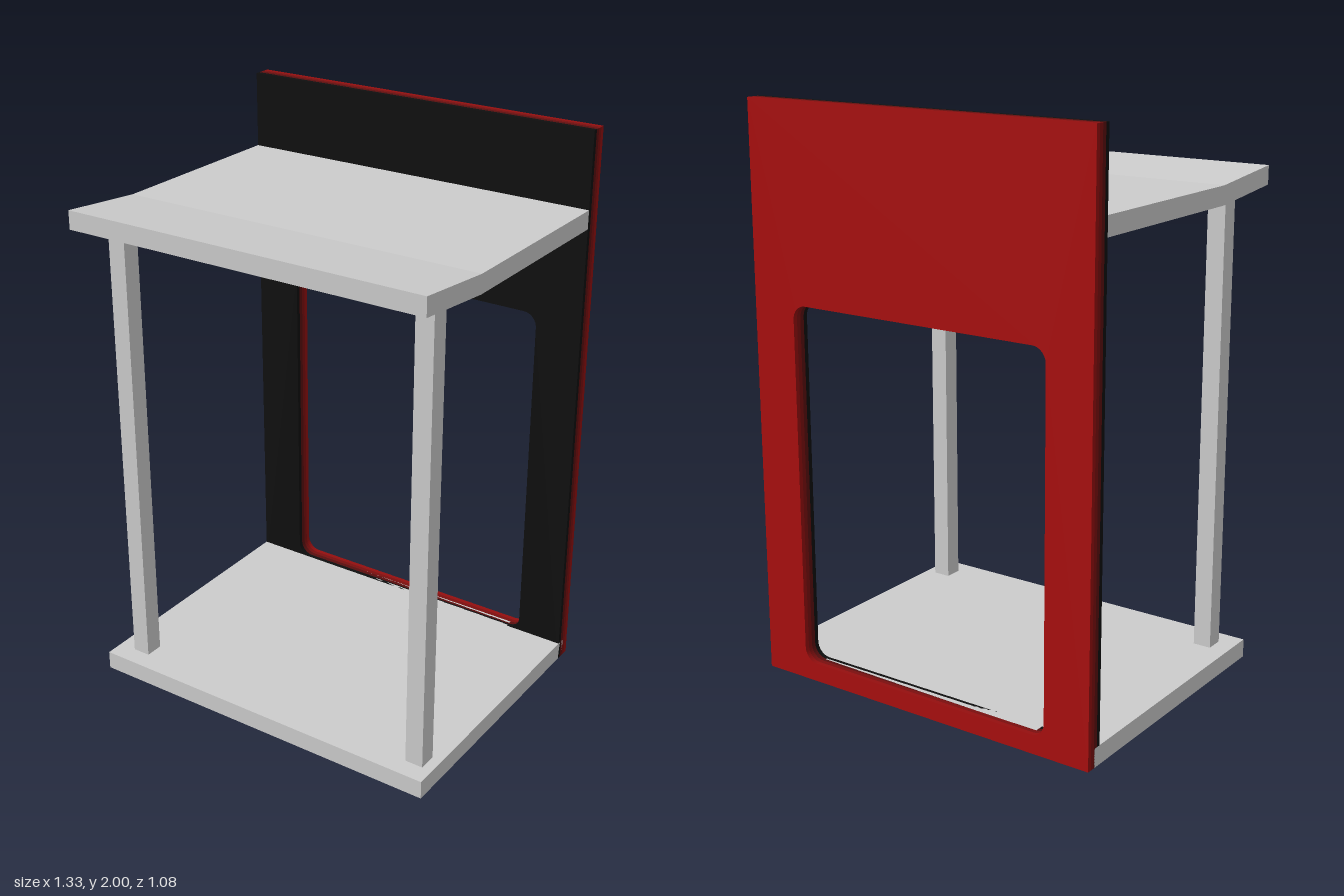
import * as THREE from 'three';

const WIDTH = 1.334, HALF = WIDTH / 2;
const BACK = -0.538, FRONT = -0.473; // back panel depth range

const grey = new THREE.MeshStandardMaterial({ color: 0xcccccc });

function box(name, [x0, x1], [y0, y1], [z0, z1]) {
  const mesh = new THREE.Mesh(new THREE.BoxGeometry(x1 - x0, y1 - y0, z1 - z0), grey);
  mesh.position.set((x0 + x1) / 2, (y0 + y1) / 2, (z0 + z1) / 2);
  mesh.name = name;
  return mesh;
}

function roundedRect(x0, y0, x1, y1, r) {
  const p = new THREE.Path();
  p.absarc(x1 - r, y0 + r, r, -Math.PI / 2, 0);
  p.absarc(x1 - r, y1 - r, r, 0, Math.PI / 2);
  p.absarc(x0 + r, y1 - r, r, Math.PI / 2, Math.PI);
  p.absarc(x0 + r, y0 + r, r, Math.PI, Math.PI * 1.5);
  p.closePath();
  return p;
}

// Panel with a window, its colour fading from red at the back to black in front
function createBackPanel() {
  const shape = new THREE.Shape([[-HALF, 0], [HALF, 0], [HALF, 2], [-HALF, 2]]
    .map(([x, y]) => new THREE.Vector2(x, y)));
  shape.holes.push(roundedRect(-0.5, 0.066, 0.5, 1.335, 0.05));

  const layers = 4, depth = FRONT - BACK;
  const geometry = new THREE.ExtrudeGeometry(shape,
    { depth, steps: layers, bevelEnabled: false, curveSegments: 6 });
  geometry.translate(0, 0, BACK);

  // Sort the triangles into depth bands, one colour each
  const pos = geometry.attributes.position.array;
  const nor = geometry.attributes.normal.array;
  const bands = Array.from({ length: layers + 1 }, () => ({ p: [], n: [] }));
  for (let i = 0; i < pos.length; i += 9) {
    const t = ((pos[i + 2] + pos[i + 5] + pos[i + 8]) / 3 - BACK) / depth;
    const band = bands[Math.max(0, Math.ceil(t * layers - 0.01))];
    band.p.push(...pos.slice(i, i + 9));
    band.n.push(...nor.slice(i, i + 9));
  }

  const panel = new THREE.Group();
  panel.name = 'backPanel';
  const red = new THREE.Color(0xa80e0e), black = new THREE.Color(0x0f0f0f);
  bands.forEach(({ p, n }, i) => {
    const g = new THREE.BufferGeometry();
    g.setAttribute('position', new THREE.Float32BufferAttribute(p, 3));
    g.setAttribute('normal', new THREE.Float32BufferAttribute(n, 3));
    const color = red.clone().lerp(black, i / layers);
    const mesh = new THREE.Mesh(g, new THREE.MeshStandardMaterial({ color }));
    mesh.name = i === 0 ? 'panelBackFace' : `panelLayer${i}`;
    panel.add(mesh);
  });
  return panel;
}

// Top shelf: a flat slab whose front part tilts up
function createShelf() {
  const profile = [[-0.473, 1.67], [0.228, 1.67], [0.538, 1.70],
    [0.538, 1.765], [0.228, 1.735], [-0.473, 1.735]];
  const geometry = new THREE.ExtrudeGeometry(
    new THREE.Shape(profile.map(([z, y]) => new THREE.Vector2(z, y))),
    { depth: WIDTH, bevelEnabled: false });
  geometry.rotateY(-Math.PI / 2).translate(HALF, 0, 0);
  const shelf = new THREE.Mesh(geometry, grey);
  shelf.name = 'topShelf';
  return shelf;
}

export function createModel() {
  const model = new THREE.Group();
  model.name = 'shelfUnit';
  model.add(
    createBackPanel(),
    createShelf(),
    box('baseBoard', [-HALF, HALF], [0, 0.066], [-0.505, 0.497]),
    // Front posts, set slightly off centre
    box('rightPost', [-0.602, -0.537], [0.066, 1.69], [0.364, 0.43]),
    box('leftPost', [0.565, 0.63], [0.066, 1.69], [0.364, 0.43]),
  );
  return model;
}
